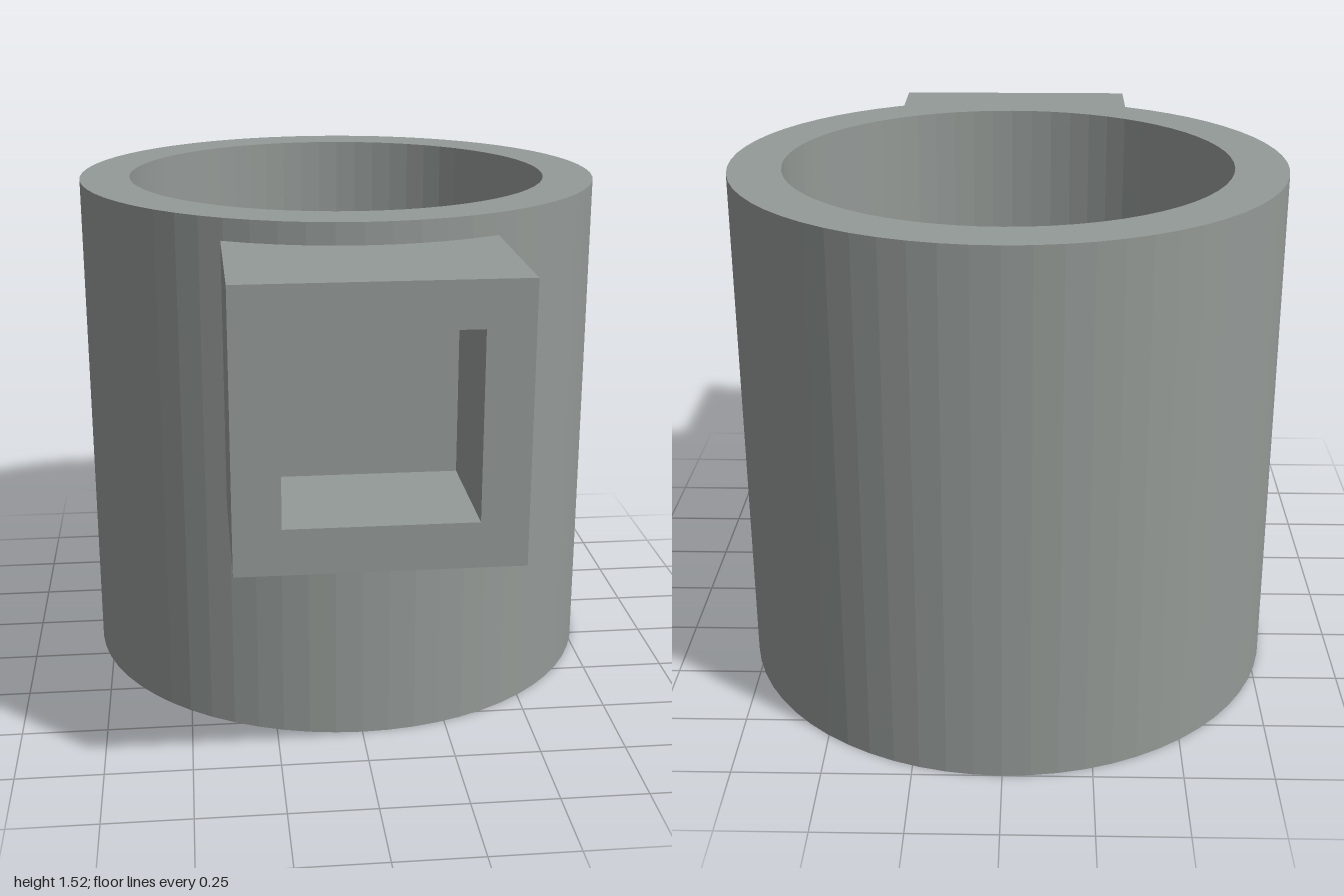
import * as THREE from 'three';

const OUTER = 0.793, INNER = 0.641, HEIGHT = 1.525; // ring
const RING_Z = -0.207;
const HALF = 0.381, HOLE = 0.255; // socket half widths
const SOCKET_Y = 1.081, POCKET_Z = 0.619, FRONT_Z = 1;

const material = new THREE.MeshStandardMaterial({ color: 0x949a97, flatShading: true });

function extrude(shape, depth, curveSegments = 32) {
  return new THREE.ExtrudeGeometry(shape, { depth, curveSegments, bevelEnabled: false });
}

function square(Type, h) {
  return new Type([[-h, -h], [h, -h], [h, h], [-h, h]].map(([x, y]) => new THREE.Vector2(x, y)));
}

function addPart(group, name, geometry, x, y, z) {
  const mesh = new THREE.Mesh(geometry, material);
  mesh.name = name;
  mesh.position.set(x, y, z);
  group.add(mesh);
}

export function createModel() {
  const model = new THREE.Group();
  model.name = 'ringWithSocket';

  // Open-ended thick tube
  const ring = new THREE.Shape().absarc(0, 0, OUTER, 0, Math.PI * 2);
  ring.holes.push(new THREE.Path().absarc(0, 0, INNER, 0, Math.PI * 2, true));
  addPart(model, 'tubeWall', extrude(ring, HEIGHT).rotateX(-Math.PI / 2), 0, 0, RING_Z);

  // Solid base of the socket: its plan has a concave back that hugs the tube
  const fit = OUTER - 0.006;
  const a = Math.asin(HALF / fit);
  const front = RING_Z - POCKET_Z;
  const plan = new THREE.Shape()
    .moveTo(-HALF, front)
    .lineTo(HALF, front)
    .absarc(0, 0, fit, -Math.PI / 2 + a, -Math.PI / 2 - a, true);
  addPart(model, 'socketBase', extrude(plan, HALF * 2, 12).rotateX(-Math.PI / 2),
    0, SOCKET_Y - HALF, RING_Z);

  // Square frame around the blind pocket
  const frame = square(THREE.Shape, HALF);
  frame.holes.push(square(THREE.Path, HOLE));
  addPart(model, 'socketFrame', extrude(frame, FRONT_Z - POCKET_Z), 0, SOCKET_Y, POCKET_Z);

  return model;
}
